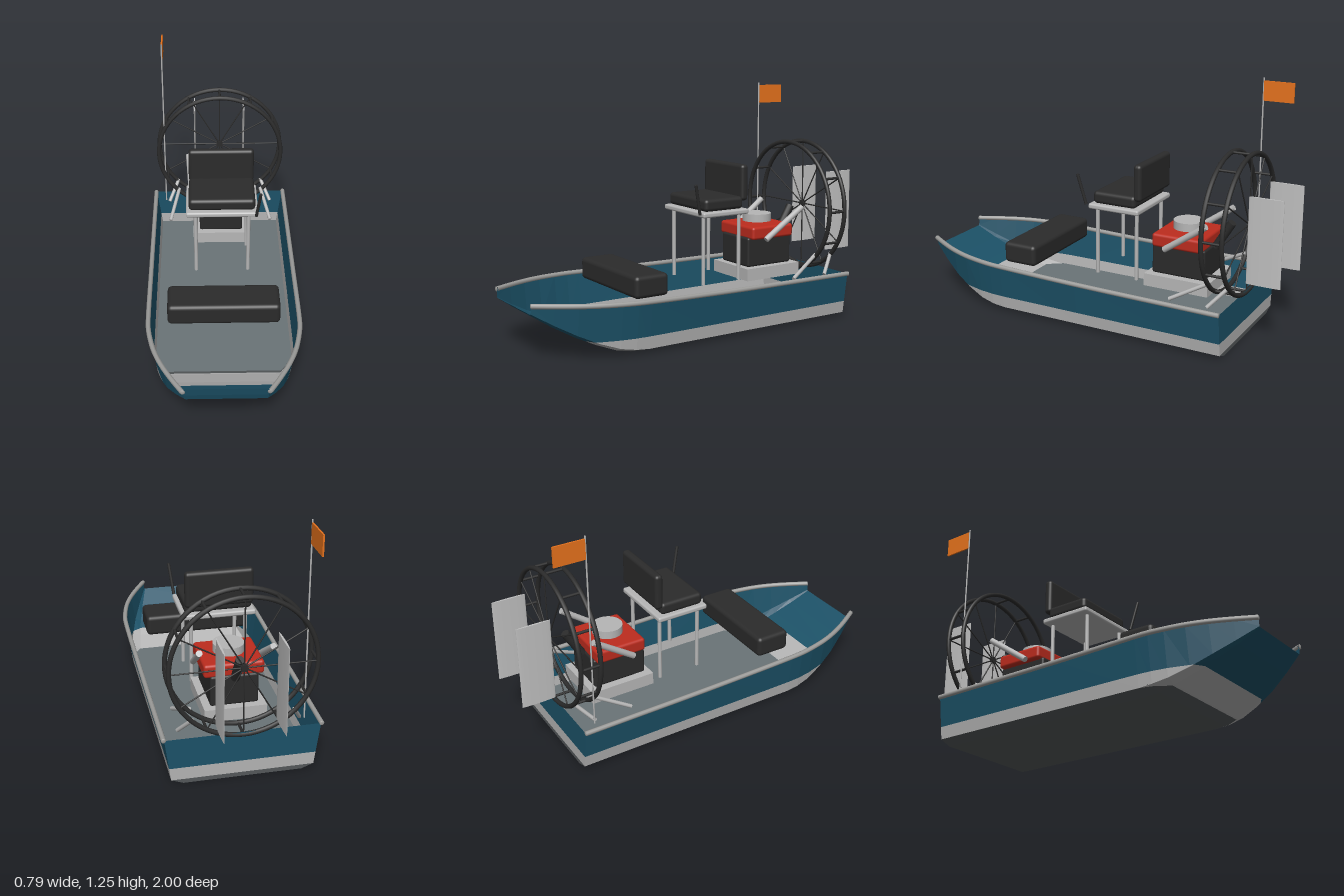
import * as THREE from 'three';
import { RoundedBoxGeometry } from 'three/addons/geometries/RoundedBoxGeometry.js';

const V = (x, y, z) => new THREE.Vector3(x, y, z);
const mat = (name, color, side = THREE.FrontSide) => {
  const m = new THREE.MeshStandardMaterial({ color, side });
  m.name = name;
  return m;
};

// Hull stations: z, sheer half-width, sheer y, chine half-width, chine y, bottom half-width, bottom y
const STATIONS = [
  [-0.785, 0.38, 0.243, 0.35, 0.022, 0.29, 0],
  [0.0, 0.381, 0.251, 0.35, 0.022, 0.29, 0],
  [0.45, 0.38, 0.262, 0.35, 0.022, 0.29, 0],
  [0.52, 0.377, 0.264, 0.347, 0.028, 0.289, 0.006],
  [0.6, 0.365, 0.266, 0.336, 0.043, 0.285, 0.024],
  [0.7, 0.342, 0.269, 0.312, 0.078, 0.27, 0.063],
  [0.8, 0.305, 0.272, 0.282, 0.125, 0.25, 0.111],
  [0.9, 0.255, 0.275, 0.24, 0.18, 0.222, 0.168],
  [0.995, 0.2, 0.278, 0.195, 0.238, 0.19, 0.235],
];

// Keep the part of a polygon on one side of a height
function clip(poly, y, sign) {
  const out = [];
  poly.forEach((a, i) => {
    const b = poly[(i + 1) % poly.length];
    const da = (a.y - y) * sign, db = (b.y - y) * sign;
    if (da >= 0) out.push(a);
    if (da * db < 0) out.push(a.clone().lerp(b, da / (da - db)));
  });
  return out;
}

// Geometry of all polygons between two heights
function band(polys, lo, hi) {
  const pos = [];
  for (const p of polys) {
    const c = clip(clip(p, lo, 1), hi, -1);
    for (let i = 1; i + 1 < c.length; i++) {
      for (const v of [c[0], c[i], c[i + 1]]) pos.push(v.x, v.y, v.z);
    }
  }
  const g = new THREE.BufferGeometry();
  g.setAttribute('position', new THREE.Float32BufferAttribute(pos, 3));
  g.computeVertexNormals();
  return g;
}

export function createModel() {
  const root = new THREE.Group();
  root.name = 'airboat';
  const DS = THREE.DoubleSide;
  const teal = mat('teal hull paint', 0x1c5268, DS);
  const pale = mat('pale hull stripe', 0xb4b4b4, DS);
  const keel = mat('dark hull bottom', 0x54585a, DS);
  const deckGrey = mat('deck grey', 0x6a7477, DS);
  const metal = mat('bare metal', 0xb6b6b6);
  const railGrey = mat('rail grey', 0x9c9c9a);
  const rudderGrey = mat('rudder grey', 0xc0c0c0);
  const black = mat('black', 0x2b2b2b);
  const red = mat('engine red', 0xbd2c1e);
  const orange = mat('flag orange', 0xe6721c);

  const add = (name, geo, m, parent = root) => {
    const mesh = new THREE.Mesh(geo, m);
    mesh.name = name;
    parent.add(mesh);
    return mesh;
  };
  const group = (name) => {
    const g = new THREE.Group();
    g.name = name;
    root.add(g);
    return g;
  };
  // Box given by its limits on each axis, rounded when r > 0
  const box = (name, m, [x0, x1], [y0, y1], [z0, z1], r = 0, parent = root) => {
    const s = [x1 - x0, y1 - y0, z1 - z0];
    const geo = r ? new RoundedBoxGeometry(...s, 3, r) : new THREE.BoxGeometry(...s);
    add(name, geo, m, parent).position.set((x0 + x1) / 2, (y0 + y1) / 2, (z0 + z1) / 2);
  };
  // Round bar between two points
  const rod = (name, m, a, b, r, parent = root, sides = 12) => {
    const d = b.clone().sub(a);
    const c = add(name, new THREE.CylinderGeometry(r, r, d.length(), sides), m, parent);
    c.position.copy(a).add(b).multiplyScalar(0.5);
    c.quaternion.setFromUnitVectors(V(0, 1, 0), d.normalize());
  };

  // Hull shell, open at the top and painted in bands by height
  const rings = STATIONS.map(([z, s, sy, c, cy, b, by]) =>
    [[-s, sy], [-c, cy], [-b, by], [b, by], [c, cy], [s, sy]].map(([x, y]) => V(x, y, z)));
  const polys = [[...rings[0]].reverse()];
  for (let i = 0; i + 1 < rings.length; i++) {
    for (let j = 0; j < 5; j++) {
      const [a, b, c, d] = [rings[i][j], rings[i][j + 1], rings[i + 1][j + 1], rings[i + 1][j]];
      polys.push([a, b, c], [a, c, d]);
    }
  }
  const hull = group('hull');
  add('hullBottom', band(polys, -1, 0.022), keel, hull);
  add('hullStripe', band(polys, 0.022, 0.086), pale, hull);
  add('hullSides', band(polys, 0.086, 1), teal, hull);

  // Deck floor
  const deck = new THREE.Shape([[-0.35, 0.78], [0.35, 0.78], [0.35, -0.5], [0.288, -0.585],
    [-0.288, -0.585], [-0.35, -0.5]].map(([x, y]) => new THREE.Vector2(x, y)));
  const floor = add('deck', new THREE.ShapeGeometry(deck), deckGrey);
  floor.rotation.x = -Math.PI / 2;
  floor.position.y = 0.03;

  // Gunwale rails, exhausts, cage struts and rudders on both sides
  for (const s of [1, -1]) {
    const pts = STATIONS.map(([z, w, y]) => V(s * (w + 0.003), y, z));
    add('gunwaleRail', new THREE.TubeGeometry(new THREE.CatmullRomCurve3(pts), 48, 0.0125, 8), railGrey);
    for (const p of [pts[0], pts[pts.length - 1]]) {
      const cap = add('railEnd', new THREE.SphereGeometry(0.0125, 8, 8), railGrey);
      cap.scale.z = 0.3;
      cap.position.copy(p);
    }
    rod('exhaustPipe', metal, V(s * 0.163, 0.435, -0.395), V(s * 0.18, 0.595, -0.625), 0.016);
    rod('cageStrut', metal, V(s * 0.24, 0.335, -0.675), V(s * 0.29, 0.235, -0.485), 0.01);
    rod('cageStrut', metal, V(s * 0.245, 0.335, -0.78), V(s * 0.3, 0.235, -0.69), 0.01);
    // Slim rudder blade with a curved section
    const rudder = add('rudder', new THREE.CylinderGeometry(1, 1, 0.44, 32), rudderGrey);
    rudder.scale.set(0.005, 1, 0.0875);
    rudder.position.set(s * 0.145, 0.55, -0.9125);
  }

  // Front bench
  box('bench', black, [-0.285, 0.285], [0.252, 0.365], [0.295, 0.485], 0.022);

  // Raised driver seat on its stand
  const seat = group('driverSeat');
  box('seatPlatform', metal, [-0.19, 0.19], [0.592, 0.62], [-0.26, 0.025], 0.01, seat);
  for (const x of [-0.14, 0.14]) {
    for (const z of [-0.005, -0.23]) rod('seatLeg', metal, V(x, 0.235, z), V(x, 0.6, z), 0.01, seat);
  }
  box('seatCushion', black, [-0.175, 0.175], [0.62, 0.685], [-0.235, 0.005], 0.02, seat);
  box('seatBack', black, [-0.175, 0.175], [0.66, 0.85], [-0.267, -0.223], 0.018, seat);
  rod('steeringLever', black, V(0.178, 0.612, 0.042), V(0.197, 0.77, 0.08), 0.008, seat);

  // Engine
  const engine = group('engine');
  box('engineBase', metal, [-0.155, 0.155], [0.22, 0.285], [-0.63, -0.28], 0, engine);
  box('engineBlock', black, [-0.12, 0.12], [0.285, 0.445], [-0.597, -0.308], 0.012, engine);
  box('engineTop', red, [-0.15, 0.15], [0.435, 0.505], [-0.59, -0.318], 0.015, engine);
  rod('airCleaner', metal, V(0, 0.513, -0.455), V(0, 0.555, -0.455), 0.078, engine, 28);
  rod('driveShaft', black, V(0, 0.435, -0.605), V(0, 0.575, -0.69), 0.022, engine);

  // Round propeller cage: two hoops, cross bars and rear spokes
  const cage = group('propellerCage');
  const cy = 0.58, R = 0.353;
  for (const z of [-0.673, -0.778]) {
    add('cageHoop', new THREE.TorusGeometry(R, 0.012, 10, 64), black, cage).position.set(0, cy, z);
  }
  rod('cageHub', black, V(0, cy, -0.77), V(0, cy, -0.788), 0.018, cage);
  for (let i = 0; i < 12; i++) {
    const a = (i * Math.PI) / 6;
    const x = R * Math.cos(a), y = cy + R * Math.sin(a);
    rod('cageBar', black, V(x, y, -0.673), V(x, y, -0.778), 0.007, cage);
    rod('cageSpoke', black, V(0, cy, -0.778), V(x, y, -0.778), 0.0035, cage);
  }

  // Safety flag
  rod('flagPole', metal, V(-0.32, 0.235, -0.705), V(-0.32, 1.248, -0.705), 0.004);
  box('flag', orange, [-0.324, -0.316], [1.133, 1.235], [-0.867, -0.707]);

  return root;
}
